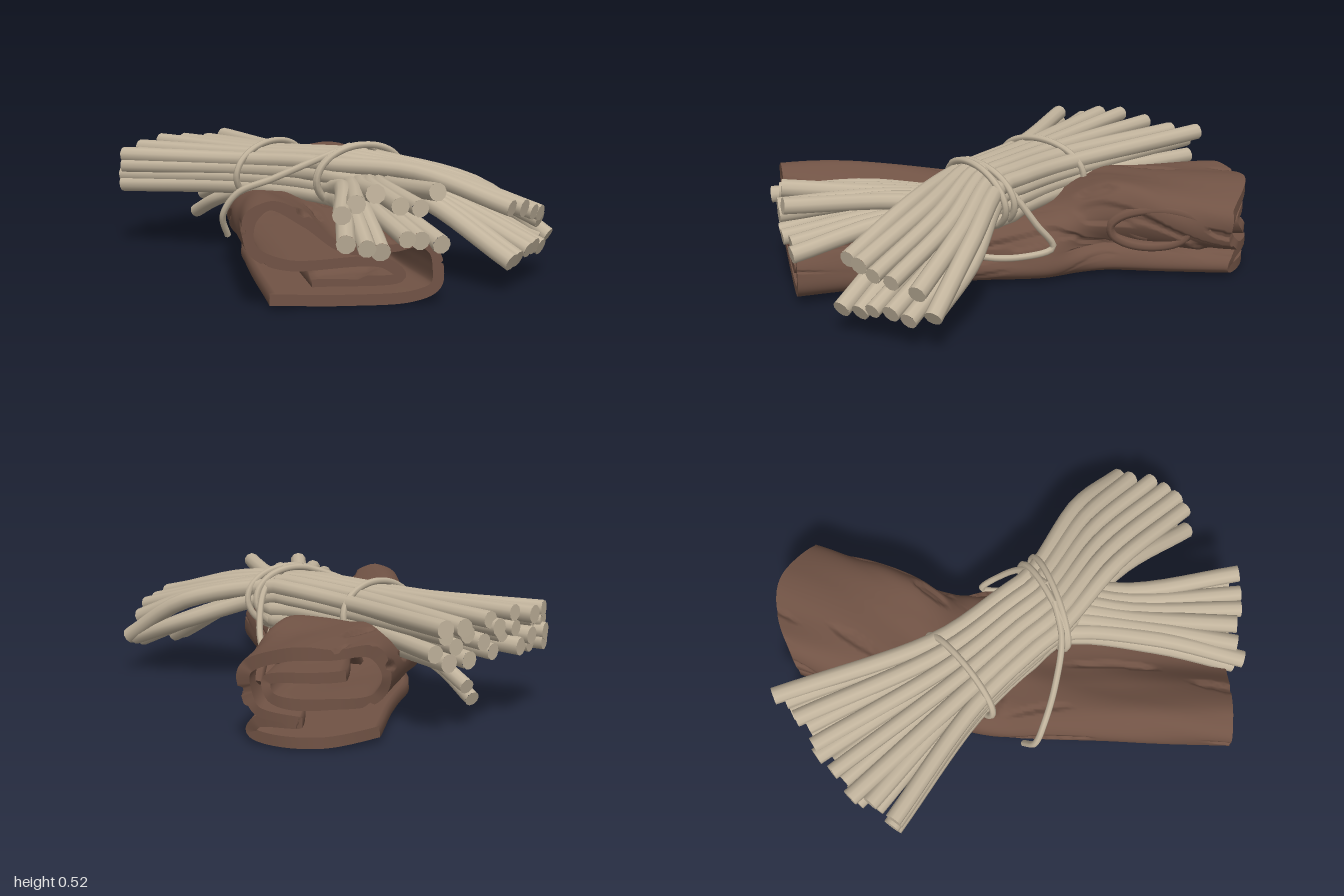
import * as THREE from 'three';
import { mergeGeometries } from 'three/addons/utils/BufferGeometryUtils.js';

const barkMat = new THREE.MeshStandardMaterial({ color: 0x715345, side: THREE.DoubleSide });
barkMat.name = 'brown bark';
const strawMat = new THREE.MeshStandardMaterial({ color: 0xc2b49d });
strawMat.name = 'pale straw';

const lerp = THREE.MathUtils.lerp;
const V = (x, y, z) => new THREE.Vector3(x, y, z);
const curve = (pts) => new THREE.CatmullRomCurve3(pts.map((p) => V(...p)), false, 'centripetal');

// Seeded jitter in -1..1
let seed = 11;
const jitter = () => {
  seed = (seed * 16807) % 2147483647;
  return (seed / 2147483647) * 2 - 1;
};

// Smooth value noise, used to grain the bark
const hash = (i, j) => {
  const h = Math.sin(i * 127.1 + j * 311.7) * 43758.5453;
  return h - Math.floor(h);
};
function noise(x, y) {
  const i = Math.floor(x), j = Math.floor(y);
  const f = (a) => a * a * (3 - 2 * a);
  const a = f(x - i), b = f(y - j);
  return lerp(lerp(hash(i, j), hash(i + 1, j), a), lerp(hash(i, j + 1), hash(i + 1, j + 1), a), b);
}

// Scroll-shaped cross-sections (across, height): bottom lip, right wall, top, left curl, inner fold
const FRONT = [[0.12, 0.04], [0.5, 0.028], [0.85, 0.035], [0.96, 0.07], [0.97, 0.14], [0.95, 0.2], [0.88, 0.235],
  [0.75, 0.22], [0.5, 0.22], [0.3, 0.32], [0.12, 0.385], [0.03, 0.33], [0.03, 0.23], [0.2, 0.165], [0.7, 0.16],
  [0.78, 0.11], [0.33, 0.1]];
const MIDDLE = [[0.08, 0.035], [0.5, 0.026], [0.9, 0.026], [0.98, 0.06], [0.97, 0.12], [0.92, 0.19], [0.8, 0.23],
  [0.65, 0.25], [0.5, 0.26], [0.3, 0.265], [0.12, 0.26], [0.03, 0.21], [0.05, 0.15], [0.2, 0.135], [0.6, 0.16],
  [0.68, 0.11], [0.35, 0.085]];
const KNOT = [[0.1, 0.05], [0.5, 0.03], [0.92, 0.045], [0.9, 0.09], [0.8, 0.12], [0.88, 0.16], [0.96, 0.26],
  [0.87, 0.365], [0.65, 0.365], [0.4, 0.34], [0.16, 0.32], [0.04, 0.25], [0.08, 0.17], [0.3, 0.14], [0.65, 0.17],
  [0.75, 0.23], [0.4, 0.25]];
const BACK = [[0.08, 0.045], [0.5, 0.03], [0.94, 0.045], [0.9, 0.085], [0.6, 0.105], [0.9, 0.13], [0.97, 0.19],
  [0.97, 0.275], [0.7, 0.34], [0.4, 0.345], [0.13, 0.34], [0.03, 0.25], [0.1, 0.17], [0.4, 0.165], [0.8, 0.19],
  [0.83, 0.245], [0.3, 0.265]];
const SECTIONS = [[0, FRONT], [0.5, MIDDLE], [0.72, KNOT], [1, BACK]];

// Left and right edges of the bark seen from above
const leftEdge = curve([[-0.79, 0, 0.6], [-0.58, 0, 0.24], [-0.38, 0, -0.08], [-0.25, 0, -0.28],
  [-0.05, 0, -0.48], [0.15, 0, -0.66], [0.35, 0, -0.85]]);
const rightEdge = curve([[-0.15, 0, 0.95], [0, 0, 0.6], [0.17, 0, 0.28], [0.32, 0, 0.06],
  [0.42, 0, -0.15], [0.6, 0, -0.34], [0.8, 0, -0.55]]);

function profileAt(t) {
  const k = t < 0.5 ? 0 : t < 0.72 ? 1 : 2;
  const [[t0, a], [t1, b]] = [SECTIONS[k], SECTIONS[k + 1]];
  const s = THREE.MathUtils.smoothstep(t, t0, t1);
  return a.map((p, i) => [lerp(p[0], b[i][0], s), lerp(p[1], b[i][1], s), 0]);
}

function barkGeometry() {
  const N = 190, M = 100, pos = [], idx = [];
  for (let j = 0; j <= M; j++) {
    const t = j / M, L = leftEdge.getPoint(t), R = rightEdge.getPoint(t), w = L.distanceTo(R);
    const c = curve(profileAt(t).map((p) => [p[0] * w, p[1], 0]));
    const outer = [], inner = [];
    for (let i = 0; i <= N; i++) {
      const s = i / N, p = c.getPoint(s), g = c.getTangent(s);
      const rough = THREE.MathUtils.smoothstep(s, 0.14, 0.27);
      // grain runs along the length, with sharp-edged cracks
      const n = noise(s * 42 + Math.sin(t * 7) * 1.5, t * 6);
      const grain = rough * (0.02 * (noise(s * 19 + t * 4, t * 6 + 9) - 0.5) - 0.015 * THREE.MathUtils.smoothstep(n, 0.7, 0.76));
      const place = (d) => {
        const u = (p.x + g.y * d) / w, q = L.clone().lerp(R, u);
        q.y = Math.max(0, p.y - g.x * d);
        // rounded back end with a ragged edge
        const end = Math.max(0, (t - 0.75) / 0.25) ** 2;
        const out = end * (0.12 * Math.sin(Math.PI * THREE.MathUtils.clamp(u, 0, 1)) - 0.03 * noise(s * 16, 3));
        return q.add(V(0.63 * out, 0, -0.775 * out));
      };
      outer.push(place(0.022 + grain));
      inner.push(place(-0.02));
    }
    for (const q of [...outer, ...inner.reverse()]) pos.push(q.x, q.y, q.z);
  }
  const K = 2 * (N + 1);
  for (let j = 0; j < M; j++) for (let i = 0; i < K; i++) {
    const a = j * K + i, b = j * K + ((i + 1) % K);
    idx.push(a, a + K, b, b, a + K, b + K);
  }
  const skin = new THREE.BufferGeometry();
  skin.setAttribute('position', new THREE.Float32BufferAttribute(pos, 3));
  skin.setIndex(idx);
  skin.computeVertexNormals();
  // end faces of the sheet
  const ends = skin.clone(), capIdx = [];
  for (let i = 0; i < N; i++) {
    const a = i, b = i + 1, c = K - 2 - i, d = K - 1 - i, o = M * K;
    capIdx.push(a, b, c, a, c, d, o + a, o + c, o + b, o + a, o + d, o + c);
  }
  ends.setIndex(capIdx);
  ends.computeVertexNormals();
  return mergeGeometries([skin, ends]);
}

// Tube closed with a disc at each end
function cappedTube(path, radius, segments, sides) {
  const parts = [new THREE.TubeGeometry(path, segments, radius, sides)];
  for (const e of [0, 1]) {
    const dir = path.getTangentAt(e).multiplyScalar(e ? 1 : -1);
    const cap = new THREE.CircleGeometry(radius, sides);
    cap.applyQuaternion(new THREE.Quaternion().setFromUnitVectors(V(0, 0, 1), dir));
    const p = path.getPointAt(e);
    parts.push(cap.translate(p.x, p.y, p.z));
  }
  return mergeGeometries(parts);
}

export function createModel() {
  const model = new THREE.Group();
  const add = (geo, mat, name, parent = model) => {
    const m = new THREE.Mesh(geo, mat);
    m.name = name;
    parent.add(m);
    return m;
  };

  add(barkGeometry(), barkMat, 'curledBark');

  // Oval scroll-shaped knot on the right flank
  const spiral = [];
  for (let i = 0; i <= 22; i++) {
    const a = (i / 22) * Math.PI * 3.4, k = 1 - (i / 22) * 0.6;
    spiral.push([Math.cos(a) * 0.22 * k, Math.sin(a) * 0.1 * k, -i * 0.001]);
  }
  const knot = add(cappedTube(curve(spiral), 0.022, 90, 8), barkMat, 'barkKnot');
  knot.position.set(0.555, 0.205, -0.335);
  knot.rotation.y = Math.PI / 4;
  knot.scale.z = 1.7;

  // Sticks: one fan veers right over the other, all pinched by the ties
  const sticks = new THREE.Group();
  sticks.name = 'stickBundle';
  model.add(sticks);
  const PER_ROW = 6;
  for (const fan of ['right', 'left']) for (let row = 0; row < 2; row++) for (let i = 0; i < PER_ROW; i++) {
    const upper = fan === 'right', f = i / (PER_ROW - 1);
    const layer = (upper ? 0 : 2) + row;                       // 0 is the top layer
    const fb = THREE.MathUtils.clamp(f + (layer % 2 ? -0.07 : 0.03) + jitter() * 0.03, 0, 1);
    const arch = 0.025 * Math.sin(Math.PI * f);
    const front = upper
      ? [lerp(0.2, 0.54, f) - row * 0.02, (row ? 0.125 : lerp(0.32, 0.16, f * f)) + jitter() * 0.025, 0.96 - 0.15 * f * f + jitter() * 0.02]
      : [lerp(-0.52, -0.2, f) + row * 0.03, (row ? 0.24 : 0.385) + jitter() * 0.04, lerp(0.8, 0.96, f) + jitter() * 0.02];
    const mid = upper
      ? [lerp(0.08, 0.42, f), lerp(0.42, 0.34, f) - row * 0.09, 0.54]
      : [lerp(-0.28, -0.04, f), 0.38 - row * 0.08, 0.53];
    const pinch = [lerp(-0.065, 0.2, f), 0.425 + arch - layer * 0.045, 0.2];
    const waist = [lerp(-0.1, 0.17, f), 0.425 + arch - layer * 0.042, 0.05];
    const rear = [lerp(-0.2, 0.125, f), 0.41 + arch - layer * 0.037, -0.27];
    const back = [lerp(-0.47, 0.21, fb), 0.42 - layer * 0.045 + jitter() * 0.02, -0.79 - 0.17 * Math.sqrt(fb) + jitter() * 0.025 + layer * 0.01];
    add(cappedTube(curve([front, mid, pinch, waist, rear, back]), 0.035 + jitter() * 0.003, 26, 10), strawMat, 'stick', sticks);
  }
  // Two stray sticks hanging low at the back
  for (const [x, y, z] of [[0.02, 0.17, -0.88], [-0.06, 0.1, -0.82]])
    add(cappedTube(curve([[x, y, z], [x - 0.02, y + 0.09, -0.6], [-0.02, 0.3, -0.25]]), 0.03, 14, 10), strawMat, 'strayStick', sticks);

  // Cord ties around the bundle: centre, half width, half height, yaw
  const ties = [
    [[-0.04, 0.355, -0.26], 0.215, 0.128, 0.2],
    [[0.065, 0.37, 0.185], 0.205, 0.128, 0],
    [[0.07, 0.37, 0.215], 0.21, 0.132, -0.12],
  ];
  for (const [c, rx, ry, yaw] of ties) {
    const pts = [];
    for (let k = 0; k < 16; k++) {
      const a = (k / 16) * Math.PI * 2;
      pts.push(V(Math.cos(a) * rx, Math.sin(a) * ry, Math.sin(a) * 0.02));
    }
    const ring = add(new THREE.TubeGeometry(new THREE.CatmullRomCurve3(pts, true), 56, 0.014, 7, true), strawMat, 'cordTie');
    ring.position.set(...c);
    ring.rotation.y = yaw;
  }

  // Loose cord running down both sides of the bark
  const cords = [
    [[0.02, 0.5, 0.21], [-0.12, 0.45, 0.17], [-0.27, 0.37, 0.06], [-0.37, 0.31, -0.04], [-0.405, 0.21, -0.1], [-0.36, 0.12, -0.13]],
    [[0.1, 0.5, 0.22], [0.23, 0.42, 0.18], [0.31, 0.27, 0.1], [0.335, 0.16, 0.03], [0.27, 0.13, 0.15], [0.17, 0.14, 0.28], [0.07, 0.2, 0.38]],
  ];
  for (const c of cords) add(cappedTube(curve(c), 0.014, 44, 7), strawMat, 'looseCord');

  return model;
}
